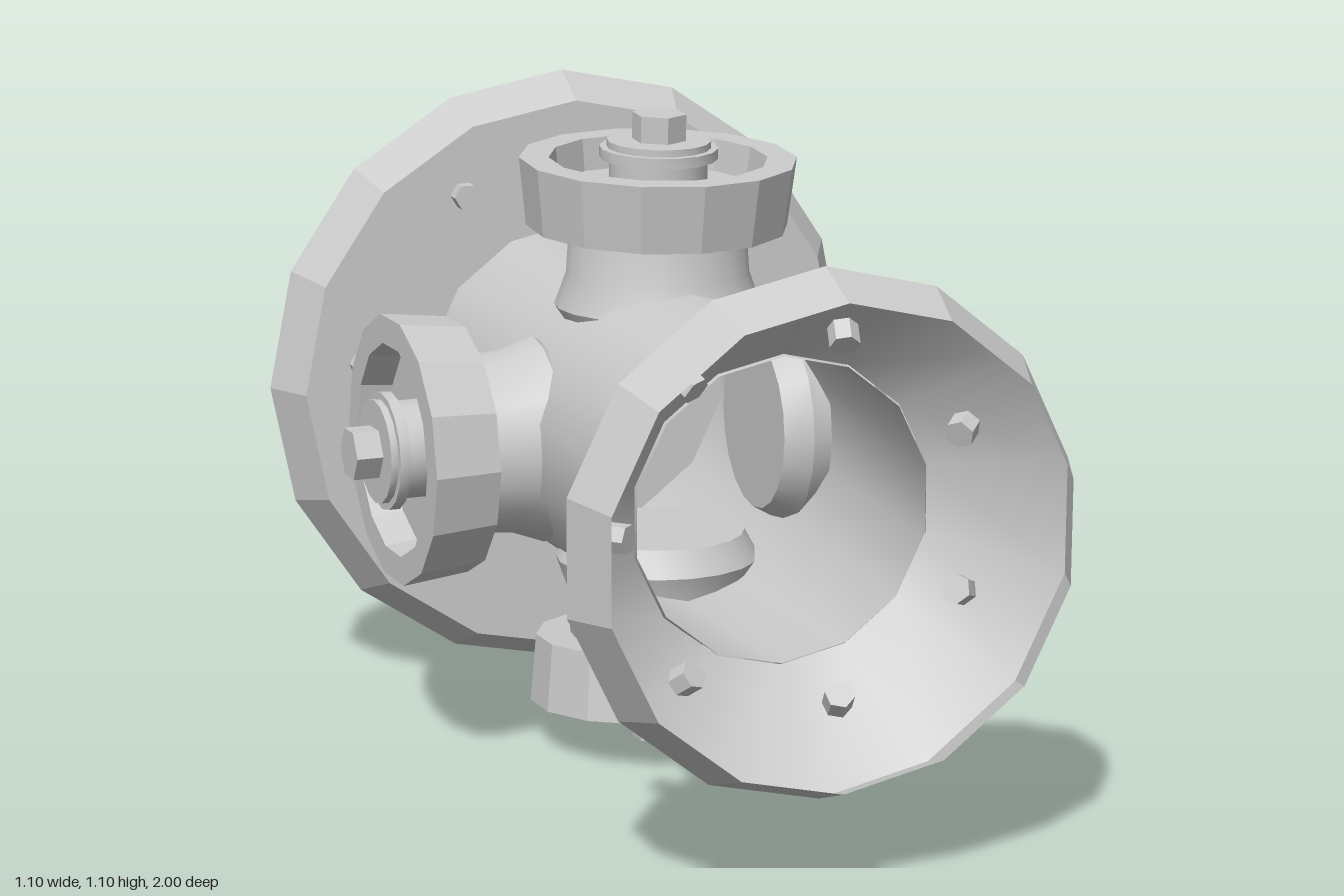
import * as THREE from 'three';
import { toCreasedNormals } from 'three/addons/utils/BufferGeometryUtils.js';

const smoothMat = new THREE.MeshStandardMaterial({ color: 0xcccccc, side: THREE.DoubleSide });
const flatMat = new THREE.MeshStandardMaterial({ color: 0xcccccc, side: THREE.DoubleSide, flatShading: true });

function add(parent, name, geometry, material = flatMat) {
  const mesh = new THREE.Mesh(geometry, material);
  mesh.name = name;
  parent.add(mesh);
  return mesh;
}

// Turned part from [radius, height] pairs
function turned(parent, name, profile, sides, smooth = false) {
  const lathe = new THREE.LatheGeometry(profile.map(([r, y]) => new THREE.Vector2(r, y)), sides);
  return smooth
    ? add(parent, name, toCreasedNormals(lathe, 0.5), smoothMat)
    : add(parent, name, lathe);
}

// Ring of seven hexagonal bolts; tilt leans each bolt outward
function boltRing(parent, name, radius, height, length, startDeg, tilt) {
  for (let i = 0; i < 7; i++) {
    const pivot = new THREE.Group();
    pivot.rotation.y = THREE.MathUtils.degToRad(startDeg) + (i * Math.PI * 2) / 7;
    const bolt = add(pivot, name, new THREE.CylinderGeometry(0.024, 0.024, length, 6));
    bolt.position.set(0, height, radius);
    bolt.rotation.x = tilt;
    parent.add(pivot);
  }
}

// Side outlet: pipe, slightly tipped hollow collar, stub and hexagonal nut
function outlet(angle, scale, name) {
  const turn = new THREE.Group();
  turn.name = name;
  turn.rotation.y = angle;
  turn.position.y = -0.135;
  const arm = new THREE.Group();
  arm.rotation.x = Math.PI / 2;
  turn.add(arm);

  turned(arm, 'outletPipe', [[0, 0.175], [0.15, 0.175], [0.175, 0.22], [0.155, 0.275], [0.148, 0.38]], 20, true);

  const cap = new THREE.Group();
  cap.name = 'outletCap';
  cap.position.y = 0.41;
  cap.rotation.x = 0.062;
  arm.add(cap);
  const collar = turned(cap, 'outletCollar',
    [[0, -0.055], [0.222, -0.055], [0.235, 0.06], [0.185, 0.06], [0.178, 0.005], [0, 0.005]], 14);
  collar.scale.set(scale, 1, scale);
  turned(cap, 'outletStub',
    [[0.083, 0], [0.083, 0.06], [0.1, 0.06], [0.1, 0.078], [0.088, 0.078], [0.088, 0.09], [0, 0.09]], 16, true);
  const nut = add(cap, 'outletNut', new THREE.CylinderGeometry(0.046, 0.046, 0.06, 6));
  nut.position.y = 0.105;
  return turn;
}

export function createModel() {
  const model = new THREE.Group();
  model.name = 'hydrant';

  // Built upright along y, then laid down with its top toward -z
  const body = new THREE.Group();
  body.name = 'hydrantBody';
  body.rotation.x = -Math.PI / 2;
  body.position.y = 0.55;
  model.add(body);

  // Open, thin-walled base and barrel
  turned(body, 'baseLip', [[0.38, -1], [0.418, -0.9]], 14);
  turned(body, 'baseCone', [[0.418, -0.9], [0.25, -0.73]], 14, true);
  turned(body, 'barrel', [[0.247, -0.735], [0.285, 0.32]], 14, true);
  boltRing(body, 'baseBolt', 0.315, -0.795, 0.085, 13, Math.PI / 4);

  // Upper flange
  turned(body, 'flange', [[0, 0.31], [0.505, 0.31], [0.55, 0.395], [0, 0.395]], 16);
  boltRing(body, 'flangeBolt', 0.405, 0.35, 0.14, 20, 0);

  // Faceted dome with neck, cap and square nut
  turned(body, 'dome', [[0.305, 0.39], [0.285, 0.56], [0.215, 0.665], [0.105, 0.735], [0, 0.735]], 8);
  turned(body, 'neck', [[0.105, 0.72], [0.105, 0.775], [0.095, 0.775], [0.095, 0.82]], 16, true);
  turned(body, 'topCap', [[0, 0.81], [0.132, 0.81], [0.15, 0.937], [0, 0.937]], 16, true);
  const topNut = add(body, 'topNut', new THREE.BoxGeometry(0.09, 0.07, 0.09));
  topNut.position.y = 0.965;

  // Four side outlets
  const outlets = [['upperOutlet', 1], ['leftOutlet', 0.94], ['lowerOutlet', 0.94], ['rightOutlet', 0.97]];
  outlets.forEach(([name, scale], i) => body.add(outlet((i * Math.PI) / 2, scale, name)));

  return model;
}
